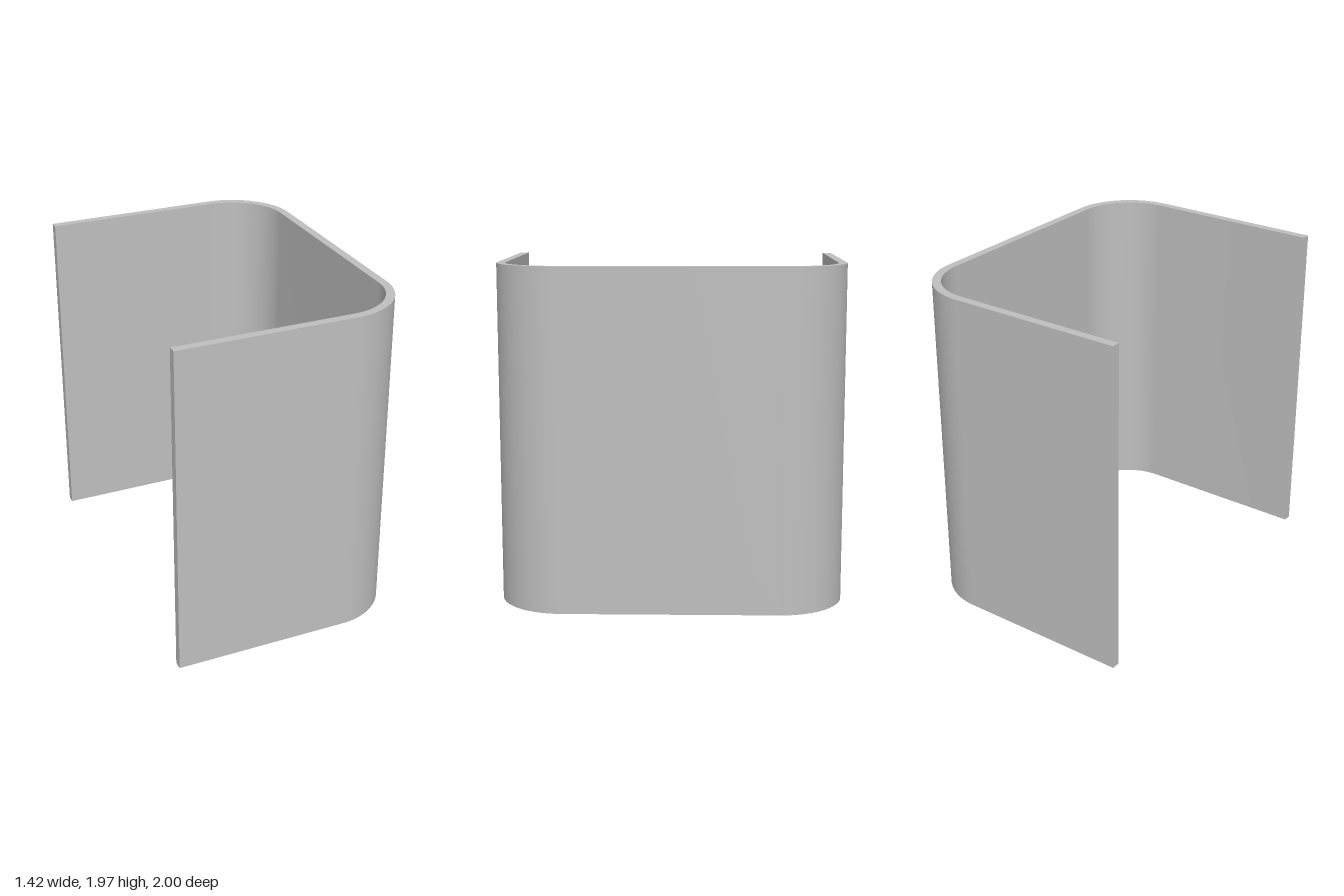
import * as THREE from 'three';
import { toCreasedNormals } from 'three/addons/utils/BufferGeometryUtils.js';

export function createModel() {
  const model = new THREE.Group();
  const grey = new THREE.MeshStandardMaterial({ color: 0xbfbfbf });
  grey.name = 'plainGrey';

  const height = 1.97, wall = 0.05, radius = 0.38;
  const back = -0.71, side = 0.71, half = 1;
  const cx = side - radius, cz = half - radius;

  // C-shaped shell: constant thickness wall with two rounded corners
  const outline = new THREE.Shape();
  outline.moveTo(back, -half);
  outline.lineTo(cx, -half);
  outline.absarc(cx, -cz, radius, -Math.PI / 2, 0, false);
  outline.absarc(cx, cz, radius, 0, Math.PI / 2, false);
  outline.lineTo(back, half);
  outline.lineTo(back, half - wall);
  outline.absarc(cx, cz, radius - wall, Math.PI / 2, 0, true);
  outline.absarc(cx, -cz, radius - wall, 0, -Math.PI / 2, true);
  outline.lineTo(back, -half + wall);
  outline.closePath();
  const shellGeometry = new THREE.ExtrudeGeometry(outline, {
    depth: height, bevelEnabled: false, curveSegments: 24,
  });
  shellGeometry.rotateX(-Math.PI / 2);
  const shell = new THREE.Mesh(toCreasedNormals(shellGeometry, 0.5), grey);
  shell.name = 'curvedShell';
  model.add(shell);

  // Box from its lower and upper corners
  const bracket = new THREE.Group();
  bracket.name = 'innerBracket';
  model.add(bracket);
  const addBox = (name, [x0, y0, z0], [x1, y1, z1]) => {
    const mesh = new THREE.Mesh(new THREE.BoxGeometry(x1 - x0, y1 - y0, z1 - z0), grey);
    mesh.position.set((x0 + x1) / 2, (y0 + y1) / 2, (z0 + z1) / 2);
    mesh.name = name;
    bracket.add(mesh);
  };

  // Bracket on the inside of the wall: two legs, a shelf and a tongue
  const front = 0.55, inner = side - wall, low = 0.03, top = 0.46;
  addBox('leftLeg', [front, low, 0.19], [inner, top, 0.23]);
  addBox('rightLeg', [front, low, -0.23], [inner, top, -0.19]);
  addBox('shelf', [front, top - 0.05, -0.19], [inner, top, 0.19]);
  addBox('tongue', [0.52, 0.32, -0.125], [0.59, top, 0.125]);

  return model;
}
